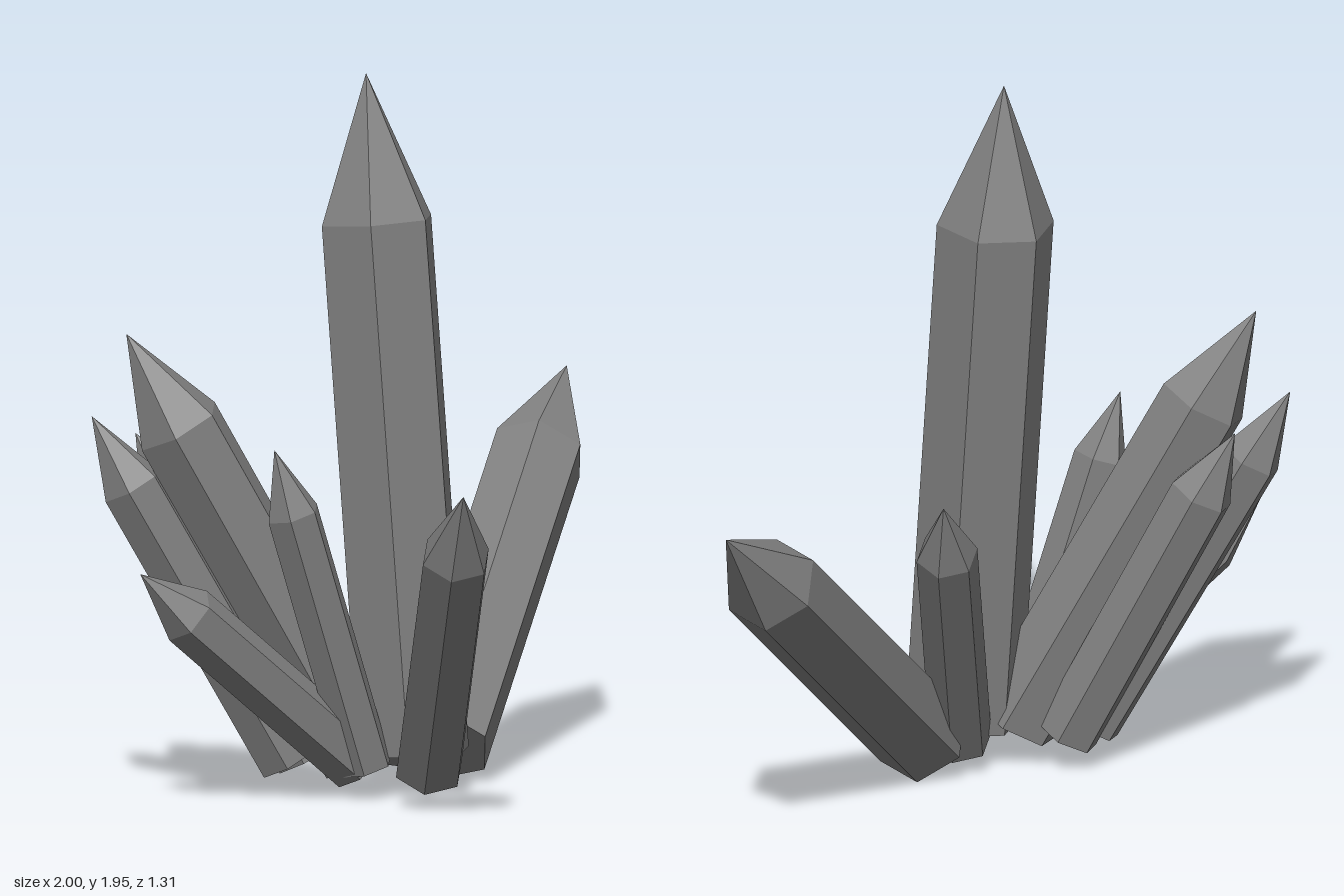
import * as THREE from 'three';

const UP = new THREE.Vector3(0, 1, 0);

// Six-sided prism with a pointed end, running from base to tip
function crystal(name, base, tip, radius, shoulder, material) {
  const start = new THREE.Vector3(...base);
  const axis = new THREE.Vector3(...tip).sub(start);
  const length = axis.length();
  const profile = [
    new THREE.Vector2(0, 0),
    new THREE.Vector2(radius, 0),
    new THREE.Vector2(radius, length * shoulder),
    new THREE.Vector2(0, length),
  ];
  const geometry = new THREE.LatheGeometry(profile, 6).toNonIndexed();
  geometry.computeVertexNormals();
  const mesh = new THREE.Mesh(geometry, material);
  mesh.name = name;
  mesh.position.copy(start);
  mesh.quaternion.setFromUnitVectors(UP, axis.normalize());
  return mesh;
}

export function createModel() {
  const group = new THREE.Group();
  group.name = 'crystalCluster';
  const stone = new THREE.MeshStandardMaterial({ color: 0x808080, flatShading: true });
  stone.name = 'grey stone';

  // name, base centre, tip, radius, shoulder position along the length
  const crystals = [
    ['mainCrystal', [-0.235, 0.095, -0.02], [-0.235, 1.94, -0.18], 0.163, 0.783],
    ['leftLongCrystal', [-0.05, 0.09, -0.055], [1.0, 0.98, -0.39], 0.134, 0.77],
    ['leftBackCrystal', [-0.15, 0.07, -0.1], [0.25, 0.91, -0.455], 0.085, 0.8],
    ['rightTallCrystal', [-0.32, 0.09, -0.13], [-0.805, 1.26, -0.572], 0.125, 0.78],
    ['rightBackOuterCrystal', [-0.48, 0.08, -0.26], [-0.86, 1.035, -0.648], 0.088, 0.8],
    ['rightBackInnerCrystal', [-0.38, 0.075, -0.275], [-0.65, 0.965, -0.652], 0.09, 0.8],
    ['rightLowCrystal', [-0.4, 0.08, -0.09], [-1.0, 0.64, -0.387], 0.085, 0.78],
    ['rightSlimCrystal', [-0.41, 0.07, -0.055], [-0.678, 0.96, -0.17], 0.075, 0.8],
    ['rightFrontCrystal', [-0.455, 0.09, 0.185], [-0.945, 0.93, 0.648], 0.097, 0.78],
  ];
  for (const c of crystals) group.add(crystal(...c, stone));
  return group;
}
